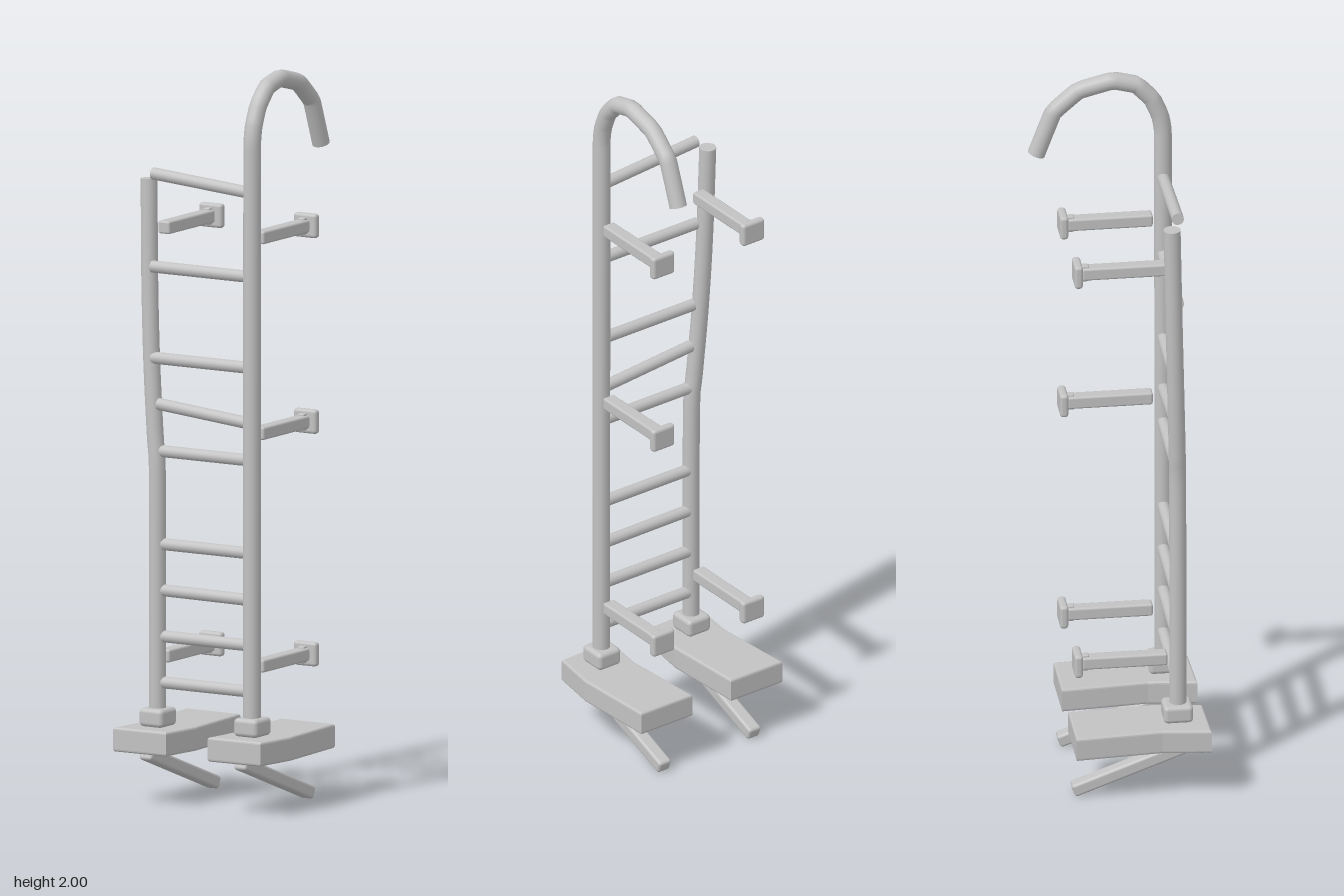
import * as THREE from 'three';
import { RoundedBoxGeometry } from 'three/addons/geometries/RoundedBoxGeometry.js';

const V = (x, y, z) => new THREE.Vector3(x, y, z);

export function createModel() {
  const model = new THREE.Group();
  model.name = 'ladder';
  const grey = new THREE.MeshStandardMaterial({ color: 0xc2c2c2 });
  grey.name = 'light grey metal';

  const add = (name, geometry, pos, parent = model) => {
    const mesh = new THREE.Mesh(geometry, grey);
    mesh.name = name;
    if (pos) mesh.position.copy(pos);
    parent.add(mesh);
    return mesh;
  };
  const block = (name, w, h, d, r, pos, parent) =>
    add(name, new RoundedBoxGeometry(w, h, d, 2, r), pos, parent);

  // Bent pipe with flat end caps; tension 0 keeps straight runs between bends
  const pipe = (name, points, radius, segments, tension) => {
    const group = new THREE.Group();
    group.name = name;
    const curve = new THREE.CatmullRomCurve3(points, false, 'catmullrom', tension);
    add(name + 'Tube', new THREE.TubeGeometry(curve, segments, radius, 16), null, group);
    for (const t of [0, 1]) {
      const cap = add(name + 'Cap', new THREE.CircleGeometry(radius, 16), curve.getPointAt(t), group);
      const dir = curve.getTangentAt(t).multiplyScalar(t ? 1 : -1);
      cap.quaternion.setFromUnitVectors(V(0, 0, 1), dir);
    }
    model.add(group);
  };

  // Straight round bar between two points
  const bar = (name, a, b, radius) => {
    const mesh = add(name, new THREE.CylinderGeometry(radius, radius, a.distanceTo(b), 16),
      a.clone().add(b).multiplyScalar(0.5));
    mesh.quaternion.setFromUnitVectors(V(0, 1, 0), b.clone().sub(a).normalize());
  };

  // Tall rail with the hook curling backwards
  pipe('hookedRail', [
    [0.2, 0.141], [1.0, 0.141], [1.81, 0.14], [1.865, 0.132], [1.915, 0.111], [1.96, 0.068],
    [1.976, 0.005], [1.952, -0.088], [1.892, -0.156], [1.77, -0.202],
  ].map(([y, z]) => V(0.147, y, z)), 0.024, 120, 0.08);

  // Short rail, leaning outwards above the middle
  pipe('leaningRail', [
    [-0.153, 0.2, 0.141], [-0.153, 0.55, 0.141], [-0.154, 0.9, 0.14], [-0.162, 1.0, 0.138],
    [-0.177, 1.2, 0.132], [-0.187, 1.42, 0.126], [-0.193, 1.69, 0.12],
  ].map((p) => V(...p)), 0.023, 50, 0.5);

  // Rungs: left end x, left end y, right end y
  const rungs = [
    [-0.145, 0.33, 0.33], [-0.145, 0.455, 0.455], [-0.145, 0.58, 0.578],
    [-0.145, 0.705, 0.705], [-0.15, 0.957, 0.957], [-0.15, 1.084, 1.057],
    [-0.168, 1.208, 1.208], [-0.17, 1.455, 1.455], [-0.168, 1.708, 1.683],
  ];
  for (const [x, y0, y1] of rungs) bar('rung', V(x, y0, 0.139), V(0.14, y1, 0.139), 0.0165);

  // Wall brackets reaching back from the rails
  const bracket = (x, y) => {
    const group = new THREE.Group();
    group.name = 'wallBracket';
    group.position.set(x, y, 0);
    block('arm', 0.037, 0.035, 0.23, 0.006, V(0, 0, -0.004), group);
    block('bolt', 0.02, 0.046, 0.02, 0.004, V(0, 0, -0.11), group);
    block('wallPlate', 0.073, 0.066, 0.023, 0.009, V(0, 0, -0.13), group);
    model.add(group);
  };
  for (const y of [0.396, 1.027, 1.558]) bracket(0.147, y);
  for (const y of [0.396, 1.558]) bracket(-0.153, y);

  // Foot pads with a slightly bent outline, seen from above as x, z
  const outline = [[-0.085, -0.139], [0.075, -0.139], [0.088, 0.09], [0.071, 0.211], [-0.083, 0.216], [-0.068, 0.09]];
  const padShape = new THREE.Shape(outline.map(([x, z]) => new THREE.Vector2(x, -z)));
  const padGeometry = new THREE.ExtrudeGeometry(padShape, {
    depth: 0.052, bevelThickness: 0.007, bevelSize: 0.006, bevelSegments: 3,
  });
  padGeometry.rotateX(-Math.PI / 2);

  for (const x of [-0.153, 0.147]) {
    add('footPad', padGeometry, V(x, 0.151, 0));
    block('railCollar', 0.075, 0.05, 0.08, 0.012, V(x, 0.236, 0.139));
    // Sloping strut under the pad
    const strut = block('footStrut', 0.04, 0.036, 0.365, 0.008, V(x, 0.081, 0.028));
    strut.rotation.x = -Math.atan2(0.125, 0.335);
  }

  return model;
}
